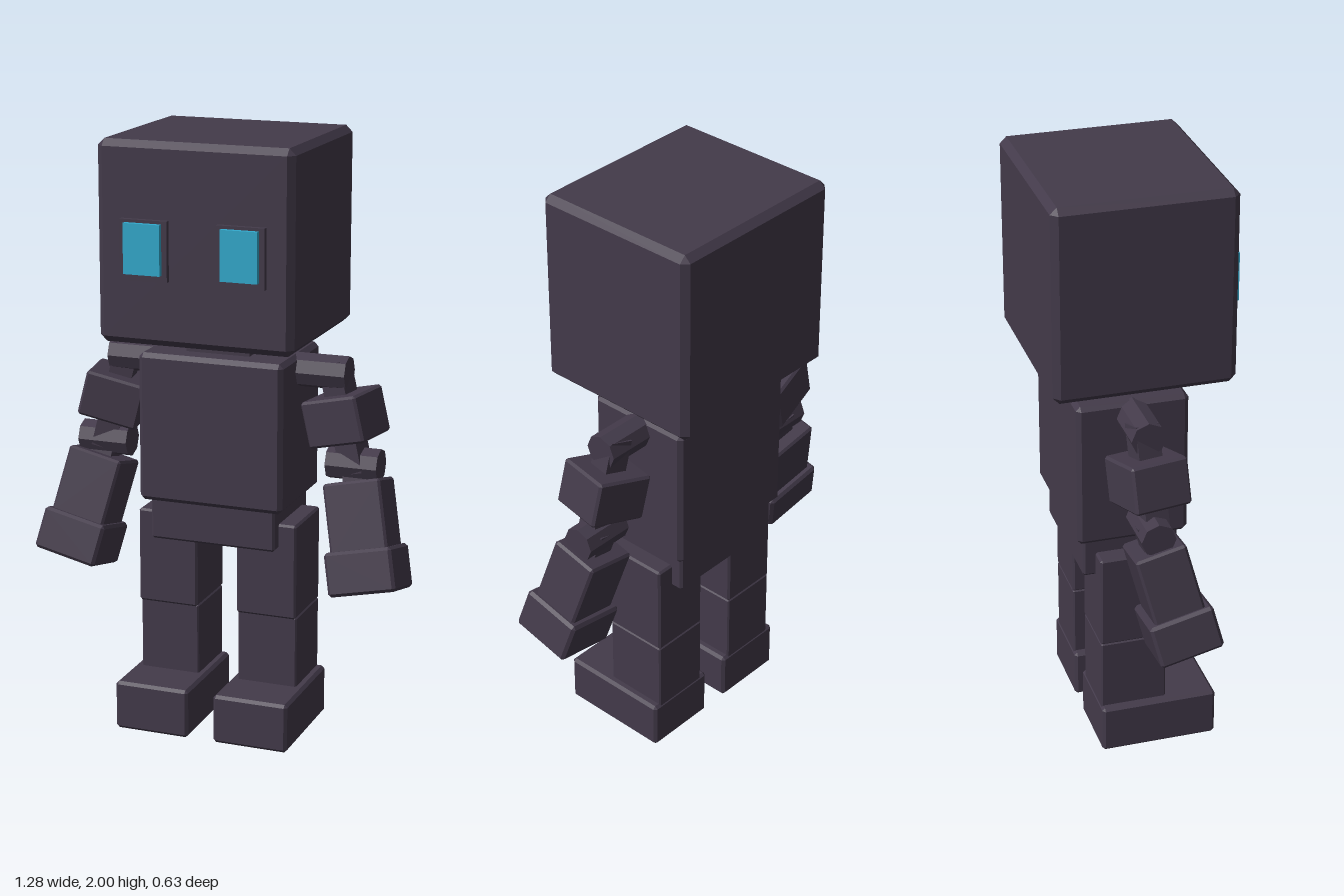
import * as THREE from 'three';
import { ConvexGeometry } from 'three/addons/geometries/ConvexGeometry.js';

const bodyMat = new THREE.MeshStandardMaterial({ color: 0x433a4a });
bodyMat.name = 'dark plum';
const eyeMat = new THREE.MeshStandardMaterial({ color: 0x32aace });
eyeMat.name = 'bright blue';

// Box with flat chamfered edges
function chamferBox(w, h, d, c) {
  const points = [];
  for (const sx of [-1, 1]) for (const sy of [-1, 1]) for (const sz of [-1, 1]) {
    const x = w / 2, y = h / 2, z = d / 2;
    points.push(
      new THREE.Vector3(sx * x, sy * (y - c), sz * (z - c)),
      new THREE.Vector3(sx * (x - c), sy * y, sz * (z - c)),
      new THREE.Vector3(sx * (x - c), sy * (y - c), sz * z));
  }
  return new ConvexGeometry(points);
}

function add(parent, name, geometry, x, y, z, material = bodyMat) {
  const mesh = new THREE.Mesh(geometry, material);
  mesh.name = name;
  mesh.position.set(x, y, z);
  parent.add(mesh);
  return mesh;
}

// Block given by its extents on each axis
function block(parent, name, [x0, x1], [y0, y1], [z0, z1], c = 0, material = bodyMat) {
  const w = x1 - x0, h = y1 - y0, d = z1 - z0;
  const geometry = c ? chamferBox(w, h, d, c) : new THREE.BoxGeometry(w, h, d);
  return add(parent, name, geometry, (x0 + x1) / 2, (y0 + y1) / 2, (z0 + z1) / 2, material);
}

// Eight-sided joint pin lying along x
function pin(parent, name, x, y, length) {
  const geometry = new THREE.CylinderGeometry(0.057, 0.057, length, 8).toNonIndexed();
  geometry.rotateZ(Math.PI / 2);
  geometry.computeVertexNormals();
  return add(parent, name, geometry, x, y, -0.035);
}

// Angled group that parts can hang from
function pivot(parent, name, x, y, z, pitch, yaw, roll) {
  const group = new THREE.Group();
  group.name = name;
  group.position.set(x, y, z);
  const r = THREE.MathUtils.degToRad;
  group.rotation.set(r(pitch), r(yaw), r(roll), 'YXZ');
  parent.add(group);
  return group;
}

function buildArm(parent, side) {
  const prefix = side > 0 ? 'left' : 'right';
  pin(parent, prefix + 'ShoulderPin', side * 0.32, 1.235, 0.19);

  // Upper arm block threaded on a thin rod
  const upper = pivot(parent, prefix + 'UpperArm', side * 0.404, 1.09, -0.035, 0, side * -10, side * 14);
  add(upper, prefix + 'ArmRod', new THREE.BoxGeometry(0.08, 0.37, 0.08), 0, 0, 0);
  add(upper, prefix + 'UpperArmBlock', chamferBox(0.205, 0.155, 0.195, 0.008), 0, 0, 0);

  pin(parent, prefix + 'ElbowPin', side * 0.44, 0.935, 0.175);

  // Forearm and hand lean outward and forward
  const fore = pivot(parent, prefix + 'Forearm', side * 0.452, 0.88, -0.03, -13.5, 0, side * 12);
  add(fore, prefix + 'ElbowRod', new THREE.BoxGeometry(0.08, 0.1, 0.08), 0, 0.03, 0);
  add(fore, prefix + 'ForearmBlock', chamferBox(0.195, 0.24, 0.17, 0.008), 0, -0.12, 0);
  add(fore, prefix + 'Hand', chamferBox(0.228, 0.145, 0.215, 0.01), 0, -0.295, 0);
}

function buildLeg(parent, side) {
  const prefix = side > 0 ? 'left' : 'right';
  const span = (a, b) => (side > 0 ? [a, b] : [-b, -a]);
  block(parent, prefix + 'Thigh', span(0.07, 0.279), [0.41, 0.735], [-0.155, 0.085], 0.007);
  block(parent, prefix + 'Shin', span(0.071, 0.278), [0.1, 0.412], [-0.154, 0.07], 0.005);
  block(parent, prefix + 'Foot', span(0.045, 0.305), [0, 0.168], [-0.157, 0.24], 0.01);
}

export function createModel() {
  const model = new THREE.Group();
  model.name = 'blockRobot';

  // Head and trunk
  block(model, 'head', [-0.33, 0.33], [1.347, 2], [-0.315, 0.281], 0.022);
  block(model, 'neck', [-0.11, 0.11], [1.27, 1.36], [-0.145, 0.072]);
  block(model, 'torso', [-0.25, 0.25], [0.787, 1.288], [-0.222, 0.15], 0.015);
  block(model, 'pelvis', [-0.218, 0.218], [0.65, 0.8], [-0.197, 0.125], 0.008);

  for (const side of [-1, 1]) {
    // Raised socket with a glowing lens
    const prefix = side > 0 ? 'left' : 'right';
    const x = side * 0.163;
    block(model, prefix + 'EyeSocket', [x - 0.08, x + 0.08], [1.56, 1.755], [0.27, 0.298]);
    block(model, prefix + 'Eye', [x - 0.062, x + 0.062], [1.582, 1.745], [0.295, 0.315], 0, eyeMat);
    buildArm(model, side);
    buildLeg(model, side);
  }
  return model;
}
